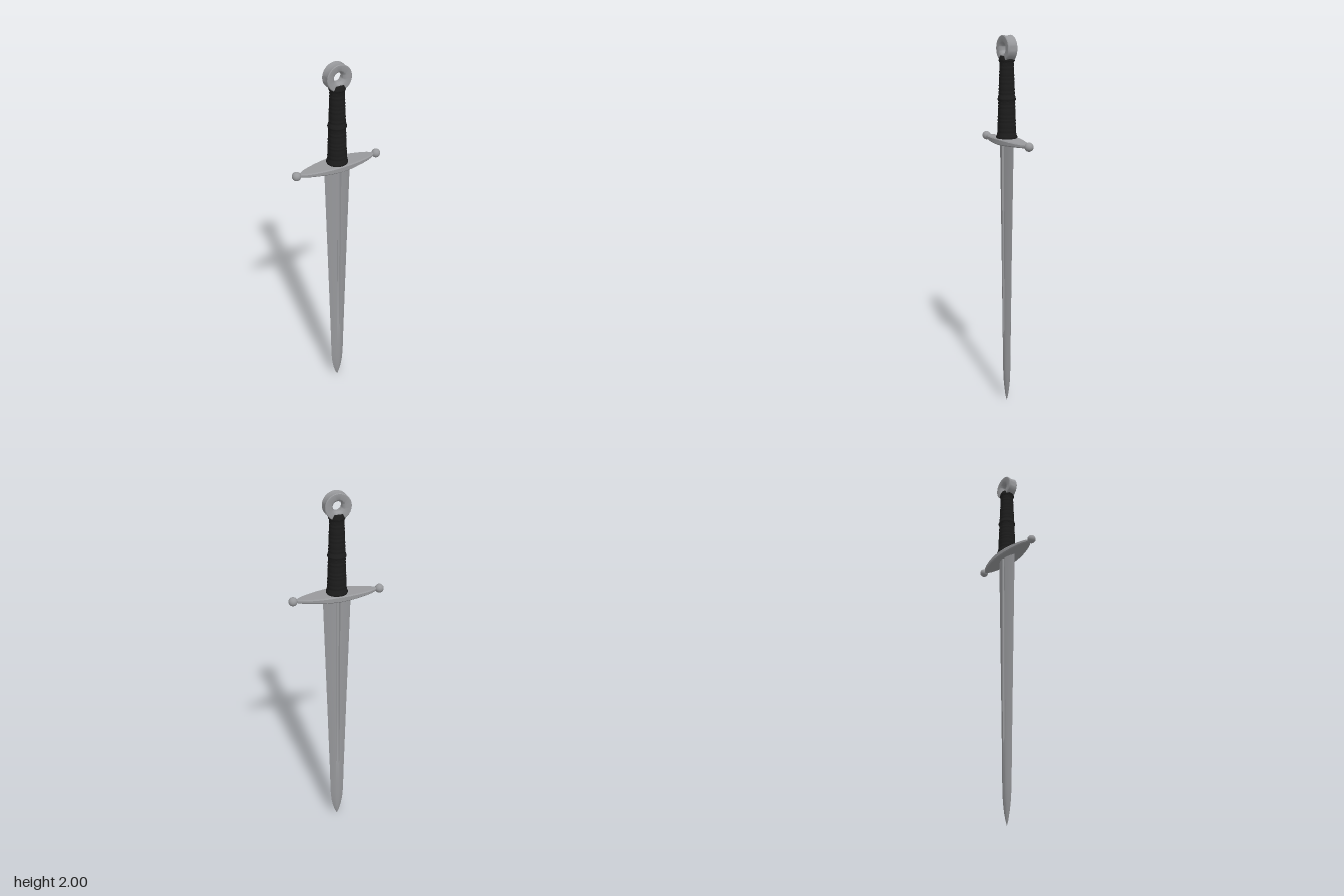
import * as THREE from 'three';
import { toCreasedNormals } from 'three/addons/utils/BufferGeometryUtils.js';

// Skin a list of equal-length rings, with a fan cap on both ends
function loft(rings, crease) {
  const n = rings[0].length, pos = [], idx = [];
  rings.forEach(r => r.forEach(p => pos.push(...p)));
  for (let i = 0; i < rings.length - 1; i++) {
    for (let k = 0; k < n; k++) {
      const a = i * n + k, b = i * n + (k + 1) % n, c = a + n, d = b + n;
      idx.push(a, c, b, b, c, d);
    }
  }
  const last = (rings.length - 1) * n;
  for (let k = 1; k < n - 1; k++) {
    idx.push(0, k, k + 1);
    idx.push(last, last + k + 1, last + k);
  }
  const g = new THREE.BufferGeometry();
  g.setAttribute('position', new THREE.Float32BufferAttribute(pos, 3));
  g.setIndex(idx);
  return toCreasedNormals(g, crease);
}

// Blade: diamond section with a fuller sunk into each face
function bladeGeometry() {
  // height, half width, half thickness, fuller depth
  const stations = [
    [0.005, 0.001, 0.001, 0], [0.03, 0.012, 0.006, 0], [0.07, 0.024, 0.010, 0],
    [0.12, 0.033, 0.014, 0], [0.18, 0.038, 0.016, 0], [0.26, 0.040, 0.017, 0],
    [0.40, 0.043, 0.018, 0], [0.43, 0.044, 0.018, 0.007], [0.80, 0.054, 0.020, 0.008],
    [1.15, 0.064, 0.022, 0.009], [1.47, 0.073, 0.024, 0.010],
  ];
  const rings = stations.map(([y, w, t, d]) => {
    const g = Math.min(0.011, w * 0.3);
    const half = [
      [w, 0], [w * 0.6, t * 0.62], [g, t * 0.95], [g * 0.55, t - d],
      [-g * 0.55, t - d], [-g, t * 0.95], [-w * 0.6, t * 0.62],
    ];
    return [...half, ...half.map(([x, z]) => [-x, -z])].map(([x, z]) => [x, y, z]);
  });
  return loft(rings, 0.3);
}

// Crossguard: leaf-shaped bar, tapering in depth and height to both ends
function guardGeometry() {
  const half = [
    [0, 0.058, 0.016], [0.05, 0.055, 0.015], [0.1, 0.047, 0.013],
    [0.15, 0.035, 0.011], [0.18, 0.024, 0.010], [0.2, 0.012, 0.009], [0.212, 0.006, 0.007],
  ];
  const stations = [...half.slice(1).reverse().map(([x, d, h]) => [-x, d, h]), ...half];
  const rings = stations.map(([x, d, h]) => {
    const c = Math.min(0.005, d * 0.4);
    return [
      [d, -h + c], [d, h - c], [d - c, h], [c - d, h],
      [-d, h - c], [-d, c - h], [c - d, -h], [d - c, -h],
    ].map(([z, y]) => [x, 1.475 + y, z]);
  });
  return loft(rings, 0.6);
}

// Grip: tapered wrapped handle with three raised bands
function gripGeometry() {
  const y0 = 1.487, y1 = 1.9, steps = 120, pts = [new THREE.Vector2(0, y0)];
  const bands = [[1.497, 0.005, 0.012], [1.69, 0.005, 0.009], [1.88, 0.006, 0.009]];
  for (let i = 0; i <= steps; i++) {
    const y = y0 + (y1 - y0) * i / steps;
    let r = THREE.MathUtils.lerp(0.048, 0.033, i / steps);
    r += 0.002 * Math.abs(Math.sin(Math.PI * i / 5));
    for (const [by, bh, bw] of bands) r += bh * Math.exp(-(((y - by) / bw) ** 2));
    pts.push(new THREE.Vector2(r, y));
  }
  pts.push(new THREE.Vector2(0, y1));
  return toCreasedNormals(new THREE.LatheGeometry(pts, 32), 0.9);
}

// Pommel: thick disc with a countersunk hole and a slightly hollow rim
function pommelGeometry() {
  const profile = [
    [0.024, -0.012], [0.032, -0.024], [0.036, -0.026], [0.062, -0.026], [0.065, -0.023],
    [0.063, -0.012], [0.062, 0], [0.063, 0.012], [0.065, 0.023], [0.062, 0.026],
    [0.036, 0.026], [0.032, 0.024], [0.024, 0.012], [0.024, -0.012],
  ].map(([r, y]) => new THREE.Vector2(r, y));
  const g = new THREE.LatheGeometry(profile, 40);
  g.rotateX(Math.PI / 2);
  return toCreasedNormals(g, 0.6);
}

export function createModel() {
  const steel = new THREE.MeshStandardMaterial({ color: 0x98999c });
  steel.name = 'steel';
  const leather = new THREE.MeshStandardMaterial({ color: 0x1c1c1c });
  leather.name = 'blackLeather';

  const sword = new THREE.Group();
  sword.name = 'sword';
  const add = (name, geometry, material, x = 0, y = 0, z = 0) => {
    const mesh = new THREE.Mesh(geometry, material);
    mesh.name = name;
    mesh.position.set(x, y, z);
    sword.add(mesh);
  };

  add('blade', bladeGeometry(), steel);
  add('crossguard', guardGeometry(), steel);
  add('grip', gripGeometry(), leather);
  add('pommel', pommelGeometry(), steel, 0, 1.935, 0);

  // Ball finials on the guard ends
  const ball = new THREE.SphereGeometry(0.0225, 24, 16);
  add('leftFinial', ball, steel, 0.225, 1.475, 0);
  add('rightFinial', ball, steel, -0.225, 1.475, 0);
  return sword;
}
